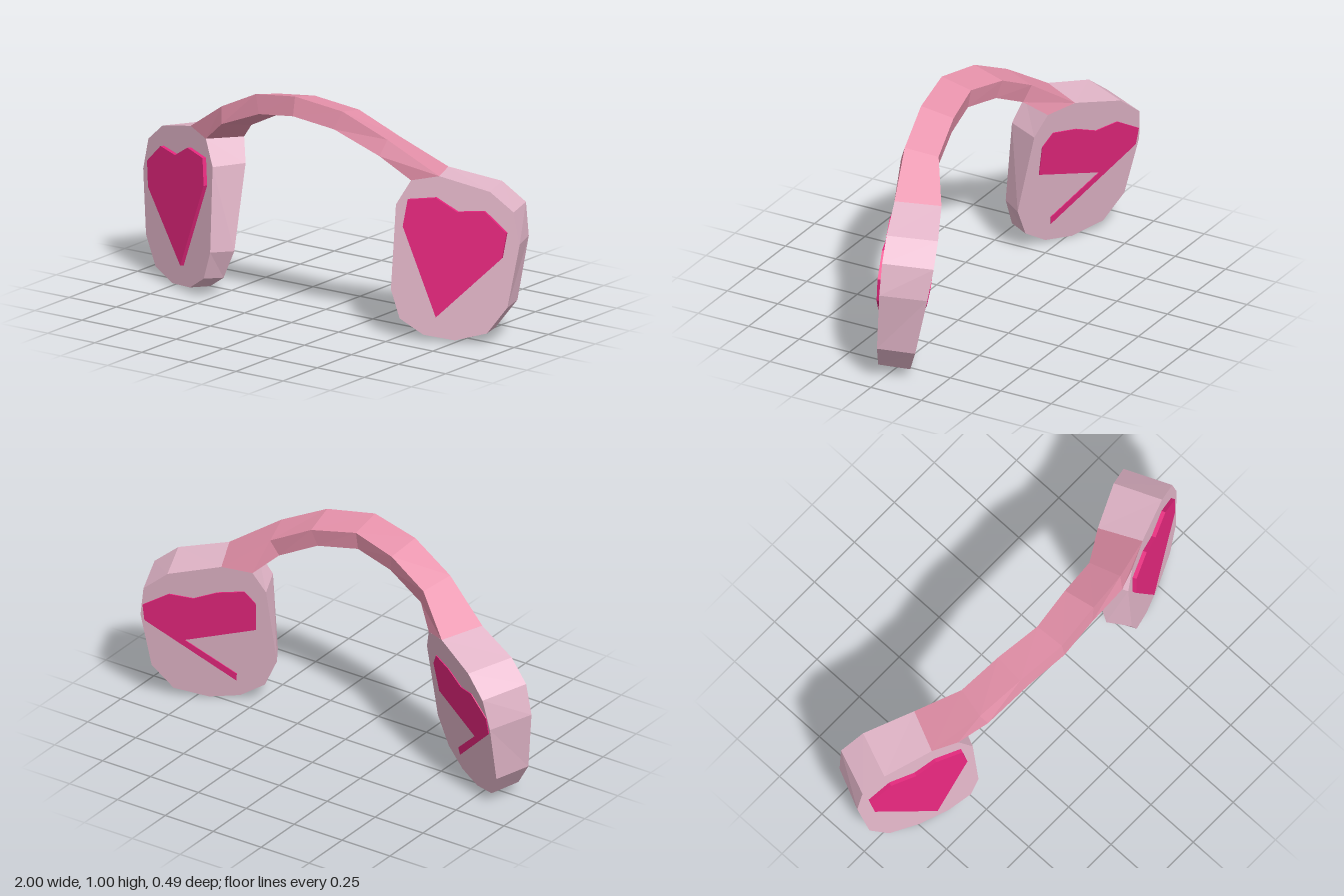
import * as THREE from 'three';

// Maps outline points onto a tilted plane z = z0 + a x + b y, raised by h along its normal
const plane = (z0, a, b) => (outline, h = 0) => {
  const normal = new THREE.Vector3(-a, -b, 1).normalize();
  return outline.map(([x, y]) => new THREE.Vector3(x, y, z0 + a * x + b * y).addScaledVector(normal, h));
};
const onFront = plane(0.393, -0.405, -0.065);
const onBack = plane(0.368, -0.55, -0.22);

// Flat-shaded skin through matching rings; side = -1 mirrors it across x
function loft(rings, side = 1, capped = true) {
  const pos = [];
  const tri = (a, b, c) => {
    for (const p of side > 0 ? [a, b, c] : [a, c, b]) pos.push(side * p.x, p.y, p.z);
  };
  const n = rings[0].length;
  for (let r = 0; r + 1 < rings.length; r++) {
    const f = rings[r], b = rings[r + 1];
    for (let i = 0; i < n; i++) {
      const j = (i + 1) % n;
      tri(f[i], b[i], b[j]);
      tri(f[i], b[j], f[j]);
    }
  }
  if (capped) {
    const first = rings[0], last = rings[rings.length - 1];
    const flat = first.map((p) => new THREE.Vector2(p.x, p.y));
    for (const [a, b, c] of THREE.ShapeUtils.triangulateShape(flat, [])) {
      tri(first[a], first[b], first[c]);
      tri(last[a], last[c], last[b]);
    }
  }
  const geo = new THREE.BufferGeometry();
  geo.setAttribute('position', new THREE.Float32BufferAttribute(pos, 3));
  geo.computeVertexNormals();
  return geo;
}

// Outlines, counter-clockwise, for the cup on +x; the cup thins towards its bottom and inner side
const CUP_FRONT = [
  [0.66, 0.727], [0.545, 0.7], [0.487, 0.59], [0.48, 0.215], [0.52, 0.09], [0.62, 0.025],
  [0.75, 0.01], [0.88, 0.05], [0.96, 0.17], [1, 0.45], [0.97, 0.59], [0.87, 0.673],
];
const CUP_BACK = [
  [0.575, 0.713], [0.46, 0.687], [0.42, 0.585], [0.42, 0.21], [0.48, 0.08], [0.58, 0.016],
  [0.7, 0], [0.83, 0.038], [0.9, 0.158], [0.912, 0.432], [0.885, 0.575], [0.785, 0.66],
];
const OUTER_HEART = [
  [0.933, 0.388], [0.948, 0.5], [0.853, 0.589], [0.743, 0.578], [0.653, 0.634], [0.538, 0.618],
  [0.522, 0.5], [0.672, 0.109],
];
// The inner heart is partly sunk, leaving the lobes and one edge showing
const INNER_HEART = [
  [0.9, 0.405], [0.898, 0.487], [0.79, 0.553], [0.7, 0.535], [0.605, 0.573], [0.502, 0.585],
  [0.466, 0.522], [0.48, 0.38], [0.759, 0.306], [0.58, 0.134], [0.586, 0.098],
];

// Headband edges from the middle to the +x cup: front top, back top, back bottom, front bottom
const BAND = [
  [[0, 1.005, 0.225], [0, 0.975, 0.08], [0, 0.89, 0.095], [0, 0.92, 0.24]],
  [[0.23, 0.97, 0.195], [0.21, 0.94, 0.045], [0.19, 0.86, 0.065], [0.2, 0.89, 0.215]],
  [[0.44, 0.87, 0.155], [0.4, 0.845, 0.01], [0.37, 0.77, 0.035], [0.42, 0.8, 0.185]],
  [[0.66, 0.727, 0.079], [0.575, 0.713, -0.105], [0.46, 0.687, -0.036], [0.545, 0.7, 0.127]],
];

export function createModel() {
  const material = (name, color) => {
    const m = new THREE.MeshStandardMaterial({ color });
    m.name = name;
    return m;
  };
  const bandPink = material('bandPink', 0xe792ab);
  const cupPink = material('cupPink', 0xe4b7ca);
  const heartPink = material('heartPink', 0xe7277e);

  const model = new THREE.Group();
  model.name = 'headphones';
  const add = (parent, name, geo, mat) => {
    const mesh = new THREE.Mesh(geo, mat);
    mesh.name = name;
    parent.add(mesh);
  };

  // Headband, mirrored about the middle
  const half = BAND.map((ring) => ring.map((p) => new THREE.Vector3(...p)));
  const mirrored = half.slice(1).reverse().map((ring) => ring.map((p) => new THREE.Vector3(-p.x, p.y, p.z)));
  add(model, 'headband', loft([...mirrored, ...half], 1, false), bandPink);

  // Ear cups with a raised heart outside and a sunken heart inside
  for (const side of [1, -1]) {
    const cup = new THREE.Group();
    cup.name = side > 0 ? 'leftEarCup' : 'rightEarCup';
    add(cup, 'cupBody', loft([onFront(CUP_FRONT), onBack(CUP_BACK)], side), cupPink);
    add(cup, 'outerHeart', loft([onFront(OUTER_HEART, 0.018), onFront(OUTER_HEART, -0.01)], side), heartPink);
    add(cup, 'innerHeart', loft([onBack(INNER_HEART, 0.003), onBack(INNER_HEART, -0.004)], side), heartPink);
    model.add(cup);
  }
  return model;
}
